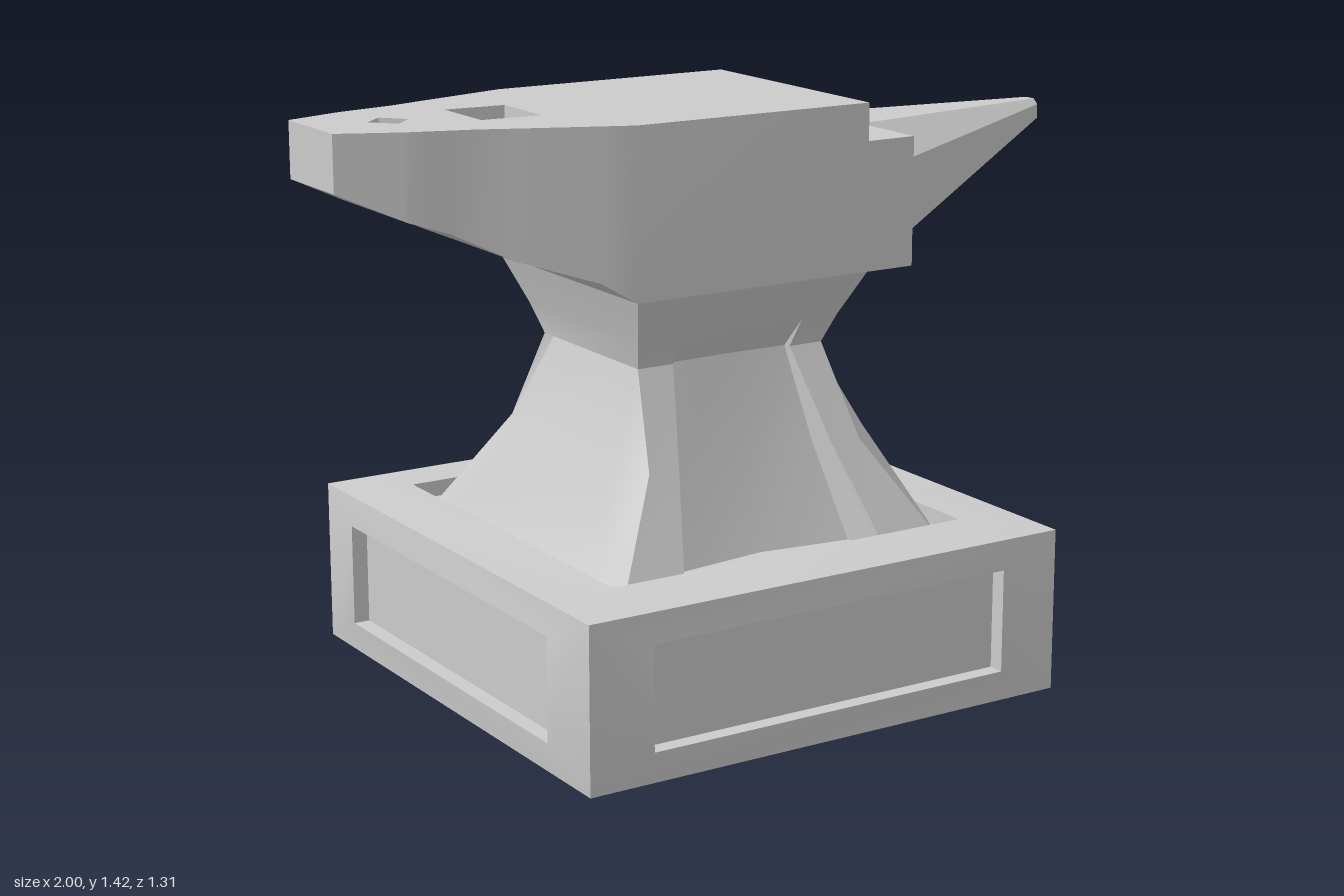
import * as THREE from 'three';
import { toCreasedNormals } from 'three/addons/utils/BufferGeometryUtils.js';

const material = new THREE.MeshStandardMaterial({ color: 0xcccccc });

// Collects quads (corners counter-clockwise from outside) into one mesh
class Surface {
  constructor() { this.positions = []; }
  quad(a, b, c, d, flip = false) {
    const order = flip ? [a, d, c, a, c, b] : [a, b, c, a, c, d];
    for (const p of order) this.positions.push(...p);
  }
  band(A, B, flip = false) {
    A.forEach((p, i) => {
      const j = (i + 1) % A.length;
      this.quad(p, A[j], B[j], B[i], flip);
    });
  }
  mesh(name, crease) {
    const g = new THREE.BufferGeometry();
    g.setAttribute('position', new THREE.Float32BufferAttribute(this.positions, 3));
    const mesh = new THREE.Mesh(toCreasedNormals(g, crease), material);
    mesh.name = name;
    return mesh;
  }
}

// Piecewise linear lookup; each row is [x, value]
function lookup(rows, x) {
  for (let i = 1; i < rows.length; i++) {
    const [x0, v0] = rows[i - 1], [x1, v1] = rows[i];
    if (x <= x1) return v0 + (v1 - v0) * (x - x0) / (x1 - x0);
  }
  return rows[rows.length - 1][1];
}

// Slightly bulged block with a recessed panel in each of its six faces
function makeBase() {
  const s = new Surface();
  const corner = [[-0.685, 0.012, -0.64], [0.595, 0.408, 0.64]];
  const bulge = [[-0.7, 0, -0.655], [0.61, 0.42, 0.655]];
  const inner = [[-0.53, 0.09, -0.48], [0.43, 0.34, 0.48]];
  const depth = 0.04;
  for (let axis = 0; axis < 3; axis++) {
    const u = (axis + 1) % 3, v = (axis + 2) % 3;
    for (const side of [0, 1]) {
      const flip = side === 0;
      const rect = (lo, hi, level) => [[lo, lo], [hi, lo], [hi, hi], [lo, hi]].map(([pu, pv]) => {
        const p = [0, 0, 0];
        p[axis] = level; p[u] = pu[u]; p[v] = pv[v];
        return p;
      });
      const level = bulge[side][axis];
      const floor = level + (side ? -depth : depth);
      const [lo, hi] = inner;
      s.band(rect(...corner, corner[side][axis]), rect(lo, hi, level), flip);
      let panelHi = hi;
      if (axis === 0 && side === 1) {
        // The horn side has only a half-width panel
        panelHi = [hi[0], hi[1], 0];
        s.quad(...rect([lo[0], lo[1], 0], hi, level), flip);
      }
      s.band(rect(lo, panelHi, level), rect(lo, panelHi, floor), flip);
      s.quad(...rect(lo, panelHi, floor), flip);
    }
  }
  return s.mesh('base', 0.35);
}

// Waisted body with four flaring corner ribs
function makeBody() {
  const s = new Surface();
  const rings = [
    { y: 0.37, left: [-0.49, -0.485, -0.325, -0.28], right: [0.40, 0.395, 0.235, 0.19], sz: 0.37, cz: 0.455, rz: 0.37, mz: 0.34 },
    { y: 0.61, left: [-0.37, -0.335, -0.255, -0.24], right: [0.33, 0.25, 0.17, 0.15], sz: 0.22, cz: 0.32, rz: 0.265, mz: 0.25 },
    { y: 0.83, left: [-0.30, -0.30, -0.205, -0.2], right: [0.21, 0.21, 0.12, 0.115], sz: 0.17, cz: 0.215, rz: 0.2, mz: 0.195 },
    { y: 0.9, left: [-0.32, -0.32, -0.22, -0.21], right: [0.23, 0.23, 0.13, 0.12], sz: 0.2, cz: 0.25, rz: 0.25, mz: 0.25 },
    { y: 1.01, left: [-0.36, -0.36, -0.25, -0.24], right: [0.27, 0.27, 0.16, 0.15], sz: 0.25, cz: 0.315, rz: 0.315, mz: 0.315 },
  ].map(({ y, left, right, sz, cz, rz, mz }) => {
    const z = [sz, cz, cz, rz];
    const front = [
      ...left.map((x, i) => [x, y, z[i]]),
      [-0.045, y, mz],
      ...right.map((x, i) => [x, y, z[i]]).reverse(),
    ];
    return [...front, ...front.map(([x, h, d]) => [x, h, -d]).reverse()];
  });
  for (let i = 1; i < rings.length; i++) s.band(rings[i - 1], rings[i]);
  return s.mesh('body', 0.5);
}

// Flat working face tapering to the heel, with a square and a diamond through-hole
function makeFace() {
  const s = new Surface();
  const under = [[-1, 1.29], [-0.85, 1.22], [-0.76, 1.19], [-0.62, 1.12], [-0.44, 1.06], [-0.36, 1.01], [0.27, 1.01]];
  const width = [[-1, 0.11], [-0.85, 0.165], [-0.7, 0.2], [-0.6, 0.235], [-0.45, 0.285], [-0.36, 0.315], [0.27, 0.315]];
  const top = [[-1, 1.422], [-0.36, 1.412], [0.27, 1.41]];
  const square = { x0: -0.625, x1: -0.47, half: 0.087 };
  const diamond = { x: -0.81, half: 0.05 };
  const hi = (x, z) => [x, lookup(top, x), z];
  const lo = (x, z) => [x, lookup(under, x), z];
  const hole = (x, mid) => (mid > square.x0 && mid < square.x1)
    ? square.half : Math.max(0, diamond.half - Math.abs(x - diamond.x));
  const endWall = (x, half, flip) => s.quad(lo(x, half), lo(x, -half), hi(x, -half), hi(x, half), flip);

  const stations = [...new Set([
    ...under.map((r) => r[0]), ...width.map((r) => r[0]), square.x0, square.x1,
    diamond.x - diamond.half, diamond.x, diamond.x + diamond.half,
  ])].sort((a, b) => a - b);

  for (let i = 1; i < stations.length; i++) {
    const a = stations[i - 1], b = stations[i], mid = (a + b) / 2;
    for (const m of [1, -1]) {
      const wa = m * lookup(width, a), wb = m * lookup(width, b);
      const ha = m * hole(a, mid), hb = m * hole(b, mid);
      s.quad(hi(a, wa), hi(b, wb), hi(b, hb), hi(a, ha), m < 0);
      s.quad(lo(a, wa), lo(b, wb), lo(b, hb), lo(a, ha), m > 0);
      s.quad(lo(a, wa), lo(b, wb), hi(b, wb), hi(a, wa), m < 0);
      if (hole(mid, mid) > 0) s.quad(lo(a, ha), lo(b, hb), hi(b, hb), hi(a, ha), m > 0);
    }
  }
  endWall(-1, 0.11, true);
  endWall(0.27, 0.315, false);
  endWall(square.x0, square.half, false);
  endWall(square.x1, square.half, true);
  return s.mesh('face', 0.5);
}

// Faceted horn, with a constant root running back under the step
function makeHorn() {
  const s = new Surface();
  const root = [[-0.1, 1.32], [0.1, 1.32], [0.19, 1.22], [0.19, 1.01], [0, 0.95], [-0.19, 1.01], [-0.19, 1.22]];
  const end = [[-0.015, 1.32], [0.015, 1.32], [0.03, 1.307], [0.03, 1.272], [0, 1.26], [-0.03, 1.272], [-0.03, 1.307]];
  const at = (section, x) => section.map(([z, y]) => [x, y, z]);
  const tip = at(end, 1);
  s.band(at(root, 0.2).map(([x, y, z]) => [x, Math.min(y, 1.315), z]), at(root, 0.4));
  s.band(at(root, 0.4), tip);
  for (let i = 1; i < tip.length - 1; i++) s.positions.push(...tip[0], ...tip[i], ...tip[i + 1]);
  return s.mesh('horn', 0.2);
}

export function createModel() {
  const group = new THREE.Group();
  group.name = 'anvil';

  // Lower table between face and horn
  const step = new THREE.Mesh(new THREE.BoxGeometry(0.13, 0.31, 0.63), material);
  step.name = 'step';
  step.position.set(0.335, 1.165, 0);

  group.add(makeBase(), makeBody(), makeFace(), step, makeHorn());
  return group;
}
